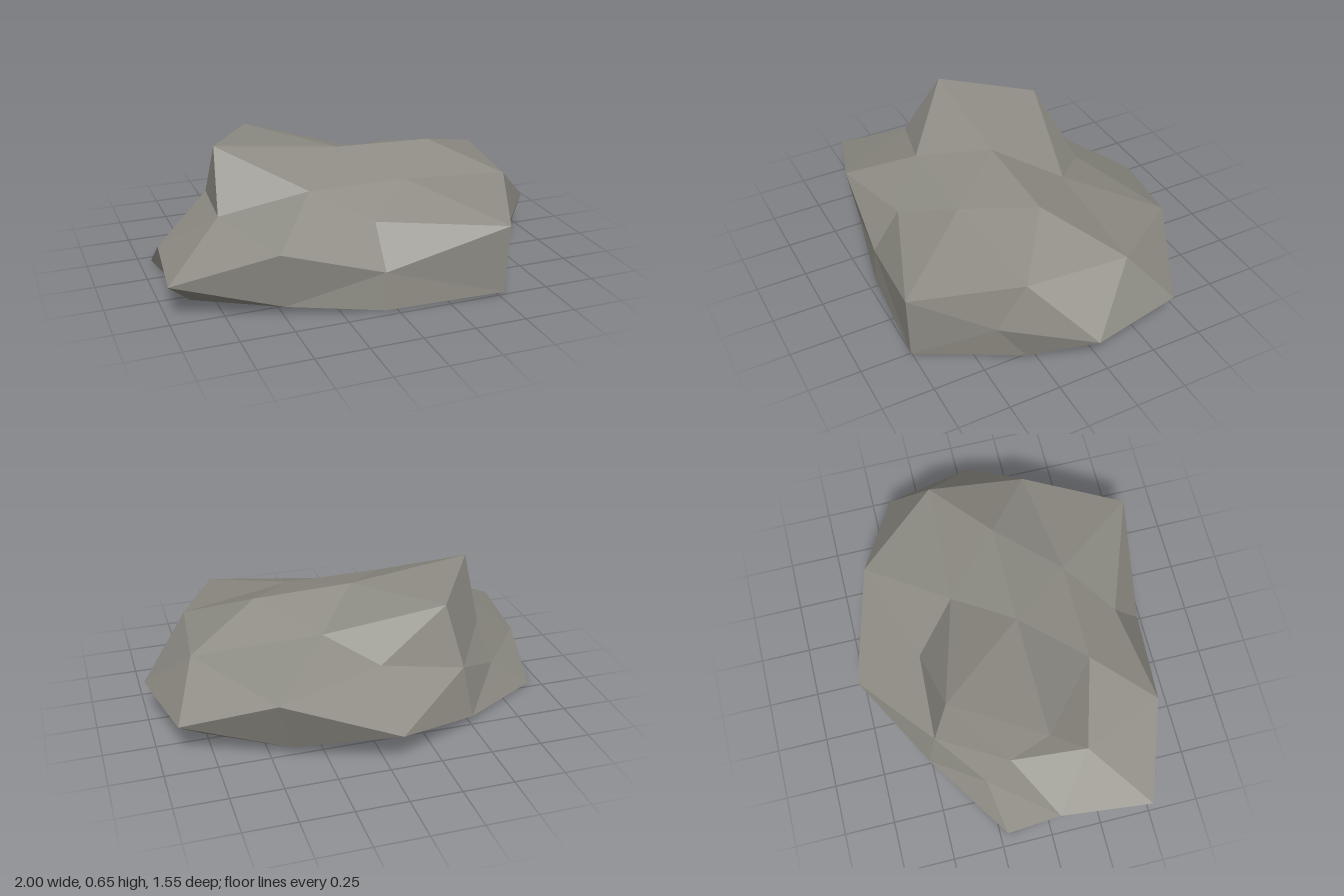
import * as THREE from 'three';

// Radii of a faceted ball's corners, grouped by direction family.
// Each list runs over the signs of the non-zero axes, + before -, x slowest, z fastest.
const FAMILIES = [
  { dir: [1, 0, 0], radii: [1.05, 0.9] },
  { dir: [0, 1, 0], radii: [0.826, 0.9] },
  { dir: [0, 0, 1], radii: [0.84, 1.071] },
  { dir: [0.526, 0.851, 0], radii: [0.931, 0.9, 1.16, 0.9] },
  { dir: [0, 0.526, 0.851], radii: [0.778, 0.748, 1.0, 0.81] },
  { dir: [0.851, 0, 0.526], radii: [0.905, 1.125, 1.116, 0.764] },
  { dir: [0.5, 0.309, 0.809], radii: [1.16, 1.065, 1.14, 0.91, 0.96, 0.82, 0.9, 0.9] },
  { dir: [0.309, 0.809, 0.5], radii: [0.777, 0.72, 0.9, 0.9, 0.785, 1.1, 0.9, 0.9] },
  { dir: [0.809, 0.5, 0.309], radii: [0.989, 1.05, 1.0, 1.02, 0.803, 0.76, 1.0, 1.1] },
];

const key = (x, y, z) => [x, y, z].map((v) => Math.round(v * 10) || 0).join();

function radiusTable() {
  const table = new Map();
  const signs = (v) => (v === 0 ? [0] : [1, -1]);
  for (const { dir: [x, y, z], radii } of FAMILIES) {
    let i = 0;
    for (const sx of signs(x))
      for (const sy of signs(y))
        for (const sz of signs(z)) table.set(key(sx * x, sy * y, sz * z), radii[i++]);
  }
  return table;
}

export function createModel() {
  const stone = new THREE.MeshStandardMaterial({ color: 0x8e8c84 });
  stone.name = 'warmGreyStone';
  stone.flatShading = true;

  // Push each corner in or out, squash the ball and cut it flat at the ground
  const geometry = new THREE.IcosahedronGeometry(1, 1);
  const table = radiusTable();
  const pos = geometry.attributes.position;
  for (let i = 0; i < pos.count; i++) {
    const x = pos.getX(i), y = pos.getY(i), z = pos.getZ(i);
    const r = table.get(key(x, y, z)) ?? 0.9;
    pos.setXYZ(i, -0.05 + x * r, Math.max(0, 0.185 + y * r * 0.472), 0.05 + z * r * 0.77);
  }
  geometry.computeVertexNormals();

  const rock = new THREE.Mesh(geometry, stone);
  rock.name = 'rock';
  const group = new THREE.Group();
  group.name = 'flatBoulder';
  group.add(rock);
  return group;
}
